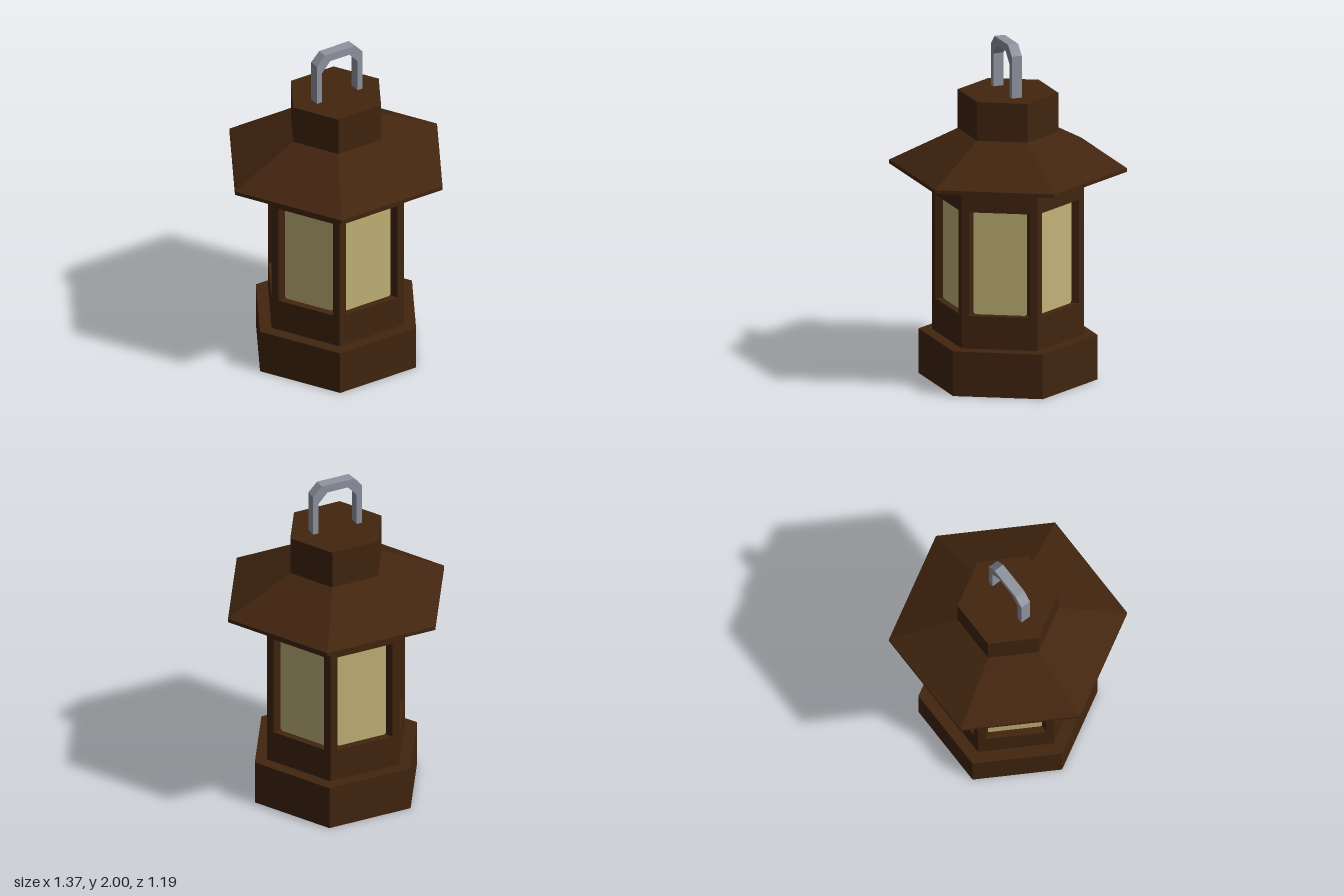
import * as THREE from 'three';

const wood = new THREE.MeshStandardMaterial({ color: 0x42250f });
wood.name = 'dark brown wood';
const glass = new THREE.MeshStandardMaterial({ color: 0xc4b478 });
glass.name = 'pale yellow glass';
const metal = new THREE.MeshStandardMaterial({ color: 0x9095a1 });
metal.name = 'grey metal';

const APOTHEM = 0.378; // centre to wall face
const RECESS = 0.044;  // depth of each window

function mesh(name, geometry, material) {
  const m = new THREE.Mesh(geometry, material);
  m.name = name;
  return m;
}

// Faceted six-sided solid from a [radius, height] profile, corners on the x axis
function hexLathe(profile) {
  const points = profile.map(([r, y]) => new THREE.Vector2(r, y));
  const g = new THREE.LatheGeometry(points, 6, Math.PI / 6).toNonIndexed();
  g.computeVertexNormals();
  return g;
}

function polygon(points) {
  return points.map(([x, y]) => new THREE.Vector2(x, y));
}

function rect(w, y0, y1) {
  return [[-w, y0], [w, y0], [w, y1], [-w, y1]];
}

// One wall facing +z, with a recessed window whose sides taper to the axis
function createWall() {
  const wall = new THREE.Group();
  const y0 = 0.46, y1 = 1.075, w = 0.175;
  const back = APOTHEM - RECESS;
  const wBack = w * back / APOTHEM;

  const face = new THREE.Shape(polygon(rect(0.2185, 0.26, 1.29)));
  face.holes.push(new THREE.Path(polygon(rect(w, y0, y1))));
  wall.add(mesh('wallPanel', new THREE.ShapeGeometry(face).translate(0, 0, APOTHEM), wood));

  // Four sides of the recess
  const outer = rect(w, y0, y1), inner = rect(wBack, y0, y1);
  const position = [];
  for (let i = 0; i < 4; i++) {
    const j = (i + 1) % 4;
    const a = [...outer[i], APOTHEM], b = [...outer[j], APOTHEM];
    const c = [...inner[j], back], d = [...inner[i], back];
    position.push(...a, ...b, ...c, ...a, ...c, ...d);
  }
  const reveal = new THREE.BufferGeometry();
  reveal.setAttribute('position', new THREE.Float32BufferAttribute(position, 3));
  reveal.computeVertexNormals();
  wall.add(mesh('windowReveal', reveal, wood));

  // Back of the recess, and the pane with clipped corners
  const floor = new THREE.ShapeGeometry(new THREE.Shape(polygon(inner)));
  wall.add(mesh('windowBack', floor.translate(0, 0, back), wood));
  const c = 0.01;
  const paneShape = new THREE.Shape(polygon([
    [-wBack + c, y0], [wBack - c, y0], [wBack, y0 + c], [wBack, y1 - c],
    [wBack - c, y1], [-wBack + c, y1], [-wBack, y1 - c], [-wBack, y0 + c],
  ]));
  wall.add(mesh('windowPane', new THREE.ShapeGeometry(paneShape).translate(0, 0, back + 0.003), glass));
  return wall;
}

export function createModel() {
  const lantern = new THREE.Group();
  lantern.name = 'lantern';

  lantern.add(mesh('base', hexLathe([[0, 0], [0.515, 0], [0.515, 0.265], [0, 0.265]]), wood));

  for (let i = 0; i < 6; i++) {
    const wall = createWall();
    wall.name = 'wall' + (i + 1);
    wall.rotation.y = i * Math.PI / 3;
    lantern.add(wall);
  }

  // Roof with a slightly hollow underside, and the cap above it
  lantern.add(mesh('roof', hexLathe([[0.42, 1.288], [0.685, 1.24], [0.685, 1.262], [0.29, 1.465]]), wood));
  lantern.add(mesh('cap', hexLathe([[0.29, 1.465], [0.29, 1.695], [0, 1.695]]), wood));

  // Carrying handle: an arch with clipped corners
  const arch = new THREE.Shape(polygon([
    [-0.155, 1.68], [-0.12, 1.68], [-0.12, 1.89], [-0.065, 1.952], [0.065, 1.952], [0.12, 1.89],
    [0.12, 1.68], [0.155, 1.68], [0.155, 1.943], [0.1, 2], [-0.1, 2], [-0.155, 1.943],
  ]));
  const handle = new THREE.ExtrudeGeometry(arch, { depth: 0.062, bevelEnabled: false });
  lantern.add(mesh('handle', handle.translate(0, 0, -0.021), metal));

  return lantern;
}
